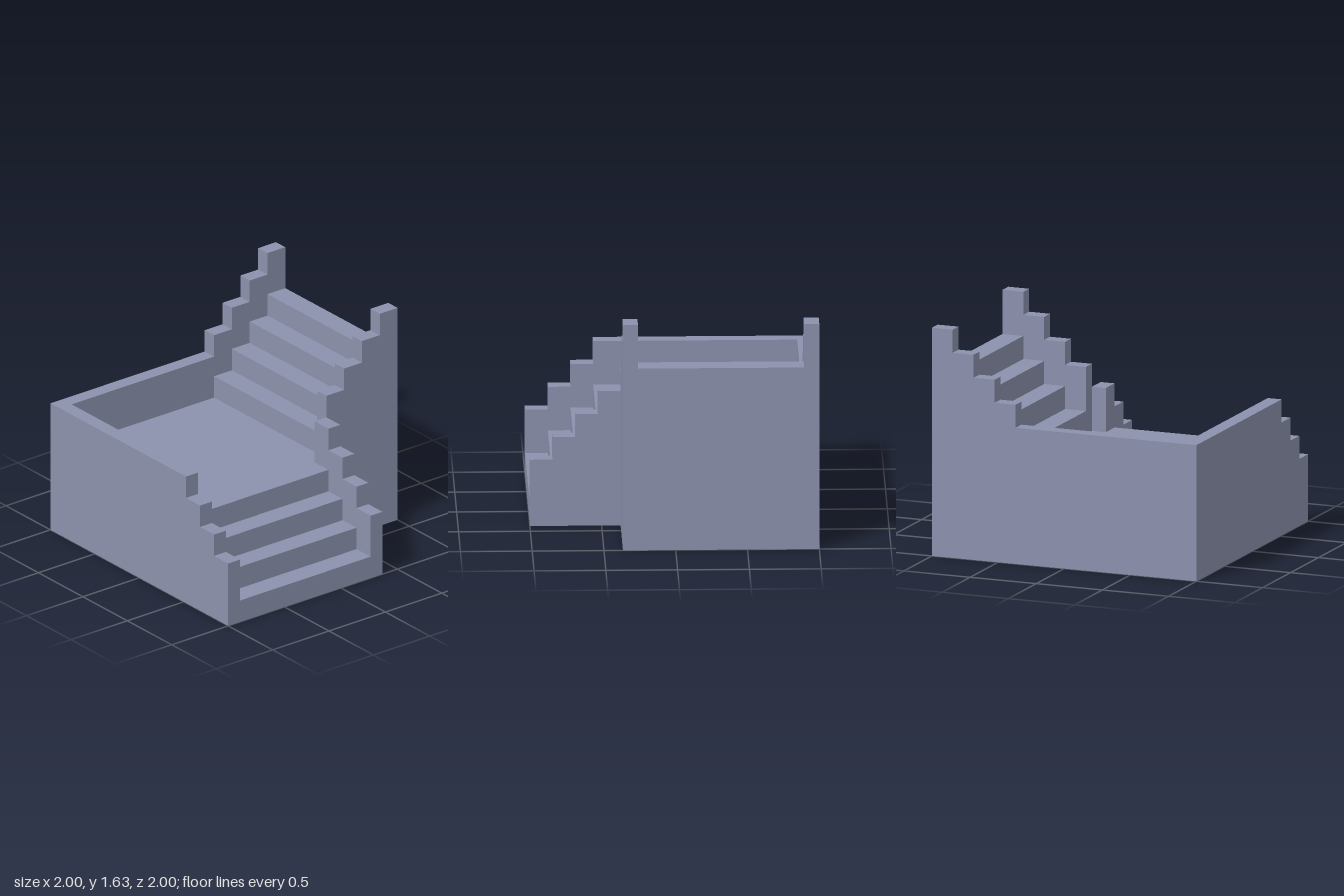
import * as THREE from 'three';

const RUN = 0.158, RISE = 0.1645, WALL = 0.105;
const INNER = 0.368; // edge where both flights meet the landing

export function createModel() {
  const group = new THREE.Group();
  group.name = 'cornerStaircase';
  const stone = new THREE.MeshStandardMaterial({ color: 0x8c92ae });
  stone.name = 'blueGreyStone';

  // Stepped outline: four steps rising from u = start, with optional level runs before and after
  function steppedShape(start, height, from = start, to = start + 4 * RUN) {
    const points = [[from, 0], [from, from < start ? height - RISE : height]];
    if (from < start) points.push([start, height - RISE], [start, height]);
    for (let i = 1; i < 4; i++) {
      const u = start + i * RUN;
      points.push([u, height + (i - 1) * RISE], [u, height + i * RISE]);
    }
    points.push([to, height + 3 * RISE], [to, 0]);
    return new THREE.Shape(points.map(([u, y]) => new THREE.Vector2(u, y)).reverse());
  }

  // Extrude an outline from a to b; "inward" runs it towards -z, otherwise towards +x
  function addSolid(name, shape, a, b, inward = false) {
    const geometry = new THREE.ExtrudeGeometry(shape, { depth: b - a, bevelEnabled: false });
    geometry.translate(0, 0, a);
    if (inward) geometry.rotateY(Math.PI / 2);
    const mesh = new THREE.Mesh(geometry, stone);
    mesh.name = name;
    group.add(mesh);
  }

  const railBase = 0.48;
  const upperRail = railBase + 4 * RISE;

  // Lower flight, climbing from the front to the landing
  addSolid('lowerSteps', steppedShape(-1, RISE), -1 + WALL, INNER - WALL, true);
  addSolid('lowerOuterWall', steppedShape(-1, railBase, -1, 1), -1, -1 + WALL, true);
  addSolid('lowerInnerWall', steppedShape(-1, railBase), INNER - WALL, INNER, true);

  // Square landing
  const size = INNER + 1 - WALL;
  const landing = new THREE.Mesh(new THREE.BoxGeometry(size, 4 * RISE, size), stone);
  landing.name = 'landing';
  landing.position.set(INNER - size / 2, 2 * RISE, INNER - size / 2);
  group.add(landing);

  // Upper flight, climbing from the landing towards +x
  addSolid('upperSteps', steppedShape(INNER, 5 * RISE), -1 + WALL, INNER - WALL);
  addSolid('upperFrontWall', steppedShape(INNER, upperRail), INNER - WALL, INNER);
  addSolid('upperBackWall', steppedShape(INNER, upperRail, -1 + WALL), -1, -1 + WALL);

  return group;
}
